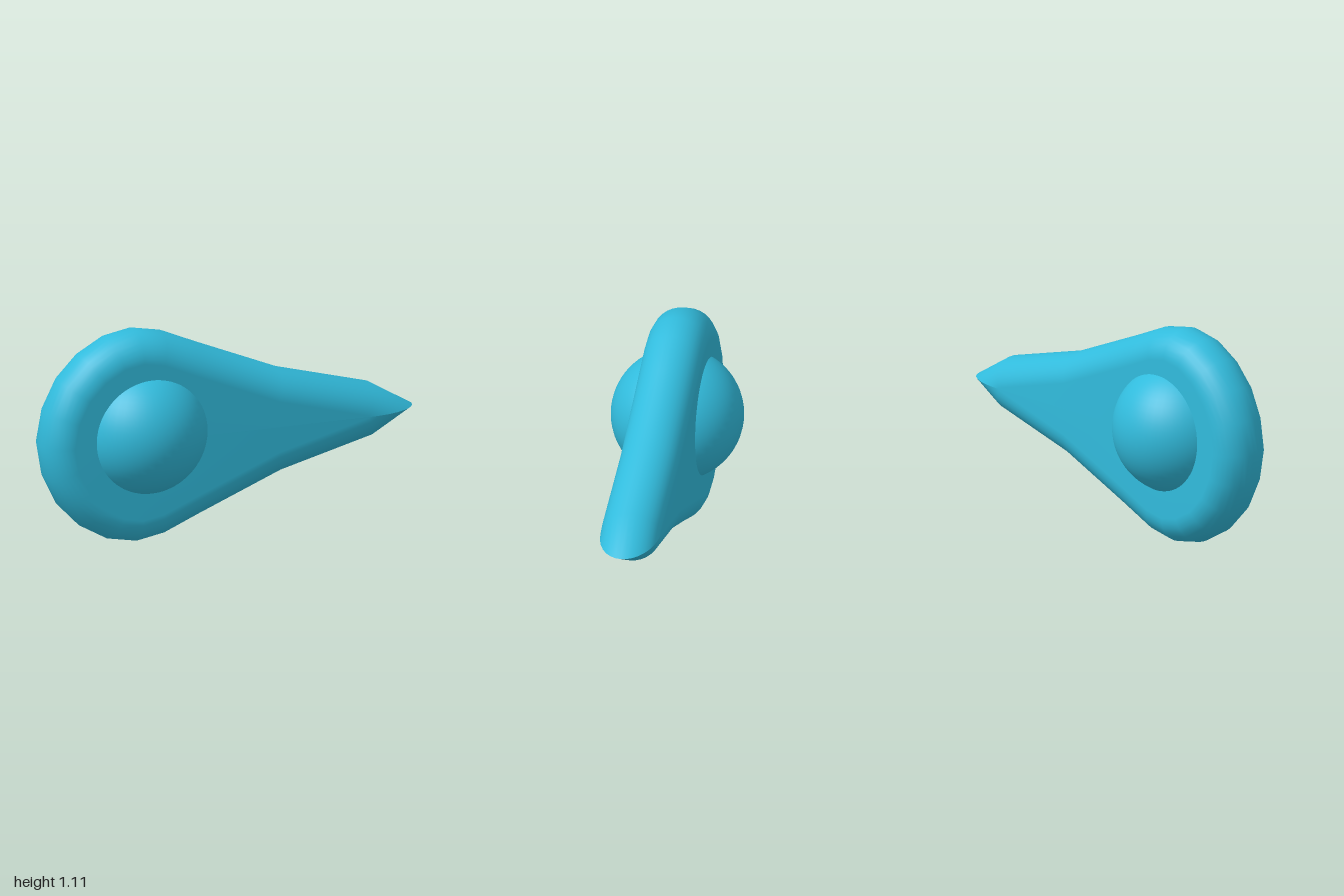
import * as THREE from 'three';

const THICK = 0.15, INSET = 0.14, STEPS = 8, MID = 0.555;

// Teardrop slab with a rounded rim: the outline is mitred inwards ring by ring.
function teardropGeometry() {
  // Upper half of the outline, from the pointed tip to the round end.
  const upper = [
    [0.995, 0], [0.77, 0.134], [0.28, 0.265], [-0.15, 0.443], [-0.34, 0.525], [-0.49, 0.553],
    [-0.64, 0.525], [-0.78, 0.445], [-0.895, 0.325], [-0.97, 0.172], [-1, 0],
  ].map(([x, y]) => new THREE.Vector2(x, y));
  const lower = upper.slice(1, -1).reverse().map(p => new THREE.Vector2(p.x, -p.y));
  const loop = [...upper, ...lower];
  const n = loop.length;

  const edgeNormal = (a, b) => new THREE.Vector2(b.y - a.y, a.x - b.x).normalize();
  const mitres = loop.map((p, i) => {
    const n1 = edgeNormal(loop[(i + n - 1) % n], p);
    const n2 = edgeNormal(p, loop[(i + 1) % n]);
    return n1.clone().add(n2).divideScalar(1 + n1.dot(n2));
  });

  const positions = [], index = [];
  const row = n + 1; // the tip is doubled so it keeps a sharp crease
  for (let k = 0; k <= 2 * STEPS; k++) {
    const a = (k / STEPS - 1) * Math.PI / 2;
    const inset = INSET * (1 - Math.cos(a));
    for (let i = 0; i <= n; i++) {
      const p = loop[i % n], m = mitres[i % n];
      let y = p.y - m.y * inset;
      if (y * p.y < 0 || Math.abs(p.y) < 1e-6) y = 0;
      positions.push(p.x - m.x * inset, y, THICK * Math.sin(a));
    }
  }
  for (let k = 0; k < 2 * STEPS; k++) {
    for (let i = 0; i < n; i++) {
      const a = k * row + i, b = a + 1, c = b + row, d = a + row;
      index.push(a, b, c, a, c, d);
    }
  }
  // Flat faces, back and front
  const back = positions.length / 3, front = back + 1, last = 2 * STEPS * row;
  positions.push(-0.45, 0, -THICK, -0.45, 0, THICK);
  for (let i = 0; i < n; i++) {
    index.push(back, i + 1, i, front, last + i, last + i + 1);
  }

  const geometry = new THREE.BufferGeometry();
  geometry.setAttribute('position', new THREE.Float32BufferAttribute(positions, 3));
  geometry.setIndex(index);
  geometry.computeVertexNormals();
  return geometry;
}

export function createModel() {
  const group = new THREE.Group();
  const blue = new THREE.MeshStandardMaterial({ color: 0x31bbdc });
  blue.name = 'turquoise blue';

  // Slab, leaning very slightly forward
  const body = new THREE.Mesh(teardropGeometry(), blue);
  body.name = 'teardropBody';
  body.position.y = MID;
  body.rotation.x = 0.016;
  group.add(body);

  // Ball bulging out of both faces
  const ball = new THREE.Mesh(new THREE.SphereGeometry(0.333, 48, 32), blue);
  ball.name = 'centreBall';
  ball.position.set(-0.447, 0.58, 0);
  group.add(ball);

  return group;
}
